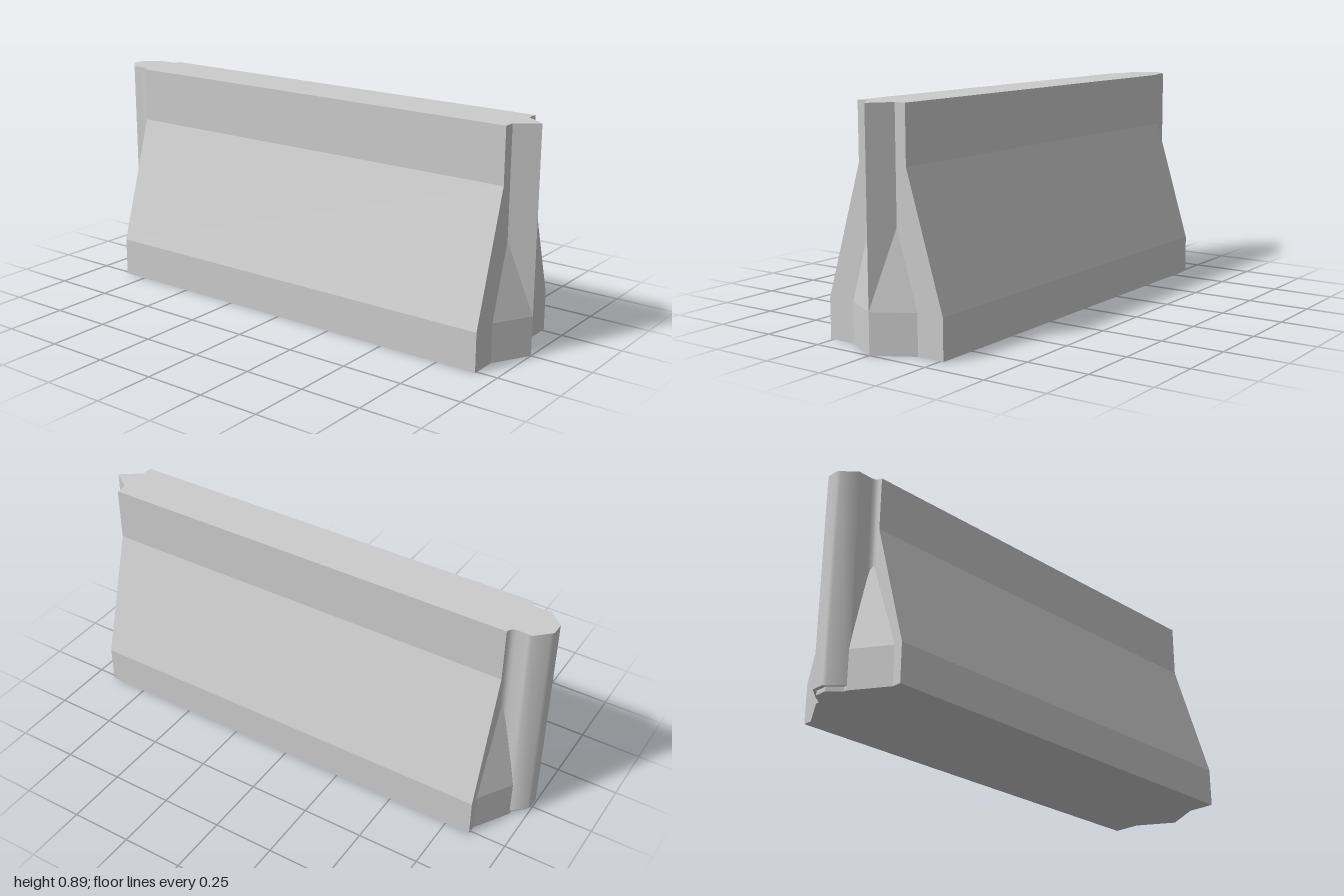
import * as THREE from 'three';
import { toCreasedNormals } from 'three/addons/utils/BufferGeometryUtils.js';
import { ConvexGeometry } from 'three/addons/geometries/ConvexGeometry.js';

const HEIGHT = 0.888, FRONT = 0.915, BACK = -0.853, CURB = 0.157;
const material = new THREE.MeshStandardMaterial({ color: 0xcccccc });

// Closed symmetric shape from its right half, listed in order
function mirroredShape(half) {
  const left = half.filter(([x]) => x > 0).map(([x, y]) => [-x, y]).reverse();
  return new THREE.Shape([...half, ...left].map(([x, y]) => new THREE.Vector2(x, y)));
}

// Upright prism from a half plan of [x, z] points
function uprightPrism(halfPlan, y0, y1) {
  const shape = mirroredShape(halfPlan.map(([x, z]) => [x, -z]));
  return new THREE.ExtrudeGeometry(shape, { depth: y1 - y0, bevelEnabled: false })
    .rotateX(-Math.PI / 2).translate(0, y0, 0);
}

// Flare on one side: a low upright base tapering up to a single point
function flare(plan, apex, side) {
  const points = [new THREE.Vector3(apex[0] * side, apex[1], apex[2])];
  for (const y of [0, CURB]) {
    for (const [x, z] of plan) points.push(new THREE.Vector3(x * side, y, z));
  }
  return new ConvexGeometry(points);
}

export function createModel() {
  const group = new THREE.Group();
  const add = (name, geometry) => {
    const mesh = new THREE.Mesh(geometry, material);
    mesh.name = name;
    group.add(mesh);
  };

  // Long barrier body with a curb, a sloped face and a narrow stem
  const profile = mirroredShape([[0.263, 0], [0.263, CURB], [0.108, 0.667], [0.108, HEIGHT]]);
  add('barrierBody', new THREE.ExtrudeGeometry(profile, { depth: FRONT - BACK, bevelEnabled: false })
    .translate(0, 0, BACK));

  // Pointed ridge on the front end
  add('frontRidge', uprightPrism([[0.062, FRONT], [0, 1]], 0, HEIGHT));

  // Rounded interlocking column on the back end, on a smaller foot
  const column = [
    [0.108, BACK], [0.095, -0.857], [0.085, -0.867], [0.082, -0.88],
    [0.082, -0.925], [0.084, -0.94], [0.035, -0.991], [0.026, -1],
  ];
  add('backColumn', toCreasedNormals(uprightPrism(column, 0.018, HEIGHT), 0.9));
  add('backColumnFoot', uprightPrism([[0.075, BACK], [0.075, -0.935], [0.025, -0.985]], 0, 0.02));

  // Flares beside the ridge and the column
  for (const side of [1, -1]) {
    const label = side > 0 ? 'Left' : 'Right';
    add('frontFlare' + label, flare([[0, FRONT], [0.15, FRONT], [0, 1]], [0.062, 0.45, FRONT], side));
    add('backFlare' + label, flare(
      [[0.02, BACK], [0.225, BACK], [0.083, -0.94], [0.02, -0.94]], [0.083, 0.55, -0.858], side));
  }
  return group;
}
